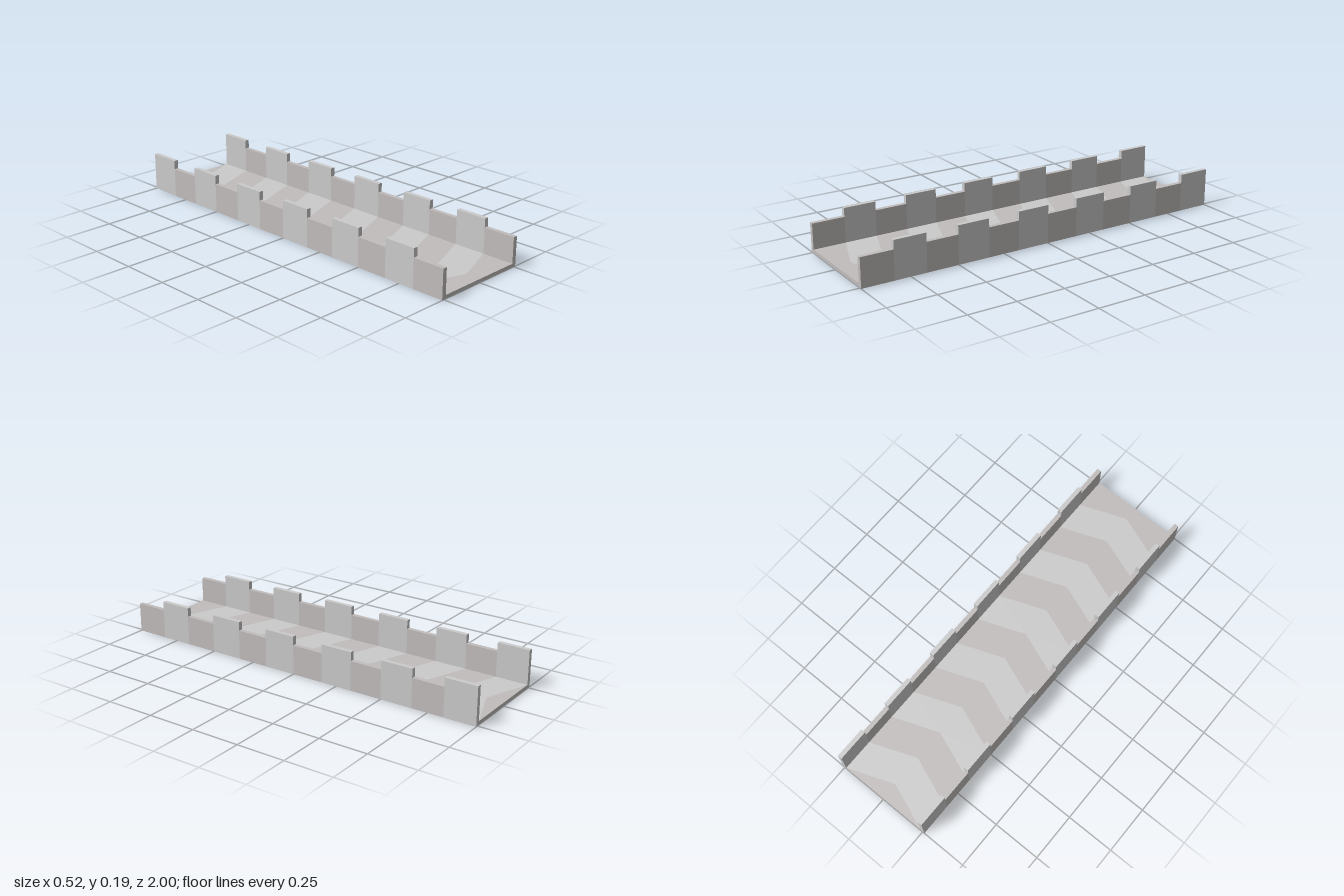
import * as THREE from 'three';

const LENGTH = 2, COUNT = 12, STEP = LENGTH / COUNT;
const OUTER = 0.261, INNER = 0.238;
const FLOOR = 0.019, LOW = 0.15, TALL = 0.195, TIP = 0.09;

export function createModel() {
  const model = new THREE.Group();
  const light = new THREE.MeshStandardMaterial({ color: 0xcccccc });
  const dark = new THREE.MeshStandardMaterial({ color: 0xc1bdbc });

  function add(geometry, material, name, parent) {
    const mesh = new THREE.Mesh(geometry, material);
    mesh.name = name;
    parent.add(mesh);
    return mesh;
  }

  // Floor: alternating chevron bands, clipped at both ends
  const floor = new THREE.Group();
  floor.name = 'floor';
  model.add(floor);
  for (let k = 0; k <= COUNT; k++) {
    const front = 1 - k * STEP;
    const back = Math.max(-1, front - STEP);
    const frontTip = Math.min(1, front + TIP);
    const backTip = k === COUNT ? -1 : back + TIP;
    const outline = [[-INNER, -front], [0, -frontTip], [INNER, -front]];
    if (k < COUNT) outline.push([INNER, -back], [0, -backTip], [-INNER, -back]);
    else outline.push([0, -backTip]);
    const shape = new THREE.Shape(outline.map(([x, y]) => new THREE.Vector2(x, y)));
    const geometry = new THREE.ExtrudeGeometry(shape, { depth: FLOOR, bevelEnabled: false });
    geometry.rotateX(-Math.PI / 2);
    add(geometry, k % 2 ? light : dark, 'floorBand', floor);
  }

  // Side walls: low and tall sections in turn
  for (const side of [-1, 1]) {
    const wall = new THREE.Group();
    wall.name = side > 0 ? 'leftWall' : 'rightWall';
    model.add(wall);
    for (let k = 0; k < COUNT; k++) {
      const tall = k % 2 === 1;
      const height = tall ? TALL : LOW;
      const section = add(new THREE.BoxGeometry(OUTER - INNER, height, STEP),
        tall ? light : dark, tall ? 'tallWallSection' : 'lowWallSection', wall);
      section.position.set(side * (OUTER + INNER) / 2, height / 2, 1 - (k + 0.5) * STEP);
    }
  }
  return model;
}
